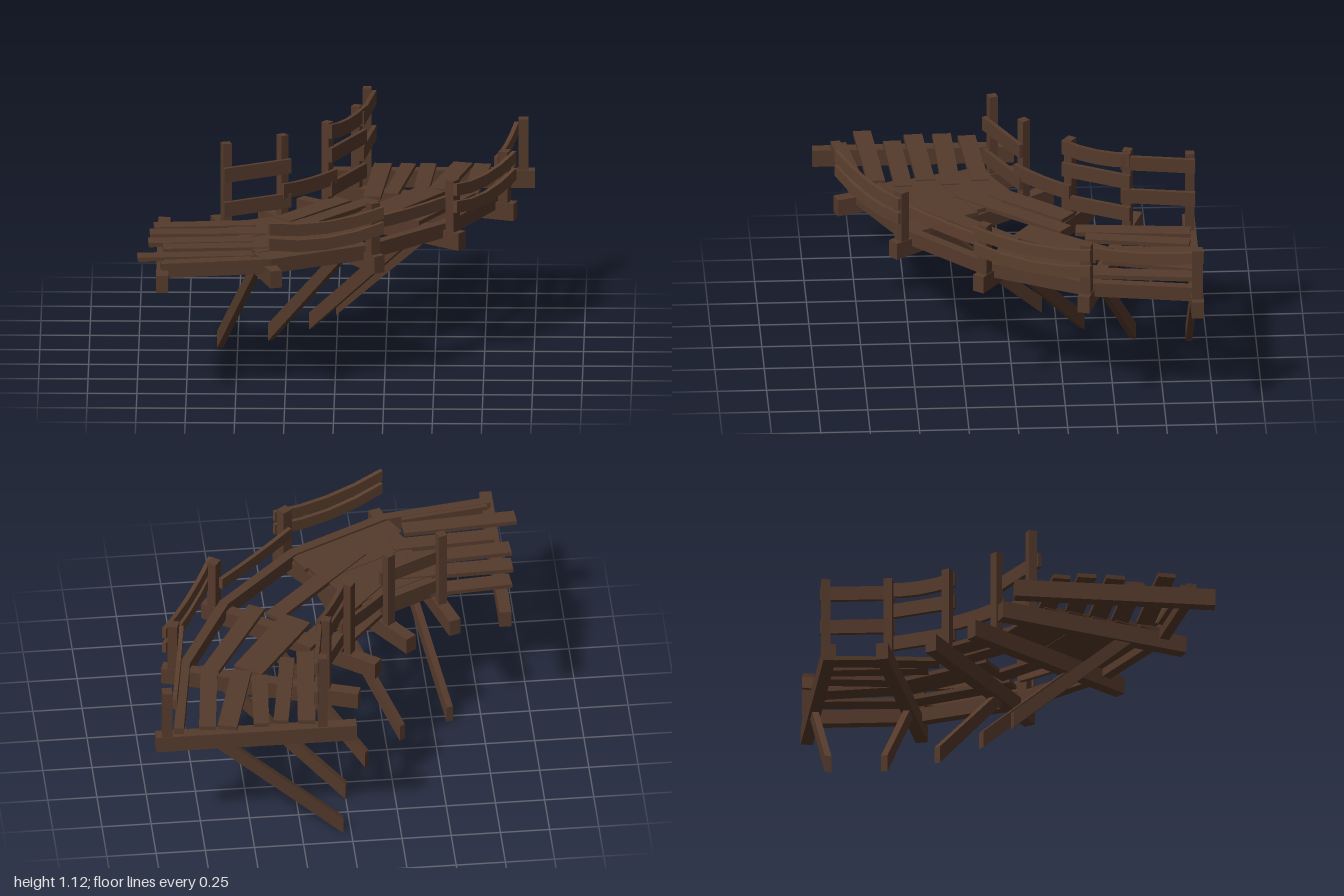
import * as THREE from 'three';

const CX = -0.87, CZ = -0.91;            // centre of the curve
const STEP = Math.PI / 10;               // angle between neighbouring beams
const wood = new THREE.MeshStandardMaterial({ color: 0x553a2b });
const railWood = new THREE.MeshStandardMaterial({ color: 0x5c3f2e });

const polar = (r, i) => [CX + r * Math.cos(i * STEP), CZ + r * Math.sin(i * STEP)];

function add(group, name, geometry, material = wood) {
  const mesh = new THREE.Mesh(geometry, material);
  mesh.name = name;
  group.add(mesh);
  return mesh;
}

// Straight or sagging board between two ground points
function board(group, name, a, b, y, height, width, { over = 0, sag = 0, material = wood } = {}) {
  const dx = b[0] - a[0], dz = b[1] - a[1];
  const len = Math.hypot(dx, dz) + over * 2;
  const geo = new THREE.BoxGeometry(len, height, width, sag ? 4 : 1, 1, 1);
  if (sag) {
    const p = geo.attributes.position;
    for (let k = 0; k < p.count; k++) {
      const t = (2 * p.getX(k)) / len;
      p.setY(k, p.getY(k) - sag * (1 - t * t));
    }
    geo.computeVertexNormals();
  }
  const mesh = add(group, name, geo, material);
  mesh.position.set((a[0] + b[0]) / 2, y, (a[1] + b[1]) / 2);
  mesh.rotation.y = -Math.atan2(dz, dx);
  return mesh;
}

// Diagonal leg with upright cut ends, in radius and height
function legGeometry() {
  const s = new THREE.Shape([[0.91, 0], [0.91, 0.09], [1.52, 0.64], [1.61, 0.64]]
    .map(([x, y]) => new THREE.Vector2(x, y)));
  const geo = new THREE.ExtrudeGeometry(s, { depth: 0.034, bevelEnabled: false });
  return geo.translate(0, 0, -0.017);
}

export function createModel() {
  const root = new THREE.Group();
  root.name = 'curvedWalkway';

  // Radial frames: beam, leg and posts
  for (let i = 0; i < 6; i++) {
    const frame = new THREE.Group();
    frame.name = 'frame' + i;
    frame.position.set(CX, 0, CZ);
    frame.rotation.y = -i * STEP;
    add(frame, 'beam', new THREE.BoxGeometry(1.02, 0.09, 0.062)).position.set(1.353, 0.64, 0);
    if (i < 5) {
      add(frame, 'leg', legGeometry());
      add(frame, 'innerPost', new THREE.BoxGeometry(0.045, 0.47, 0.045)).position.set(1.015, 0.88, 0);
    }
    if (i < 4) {
      add(frame, 'outerPost', new THREE.BoxGeometry(0.05, 0.315, 0.055)).position.set(1.805, 0.7975, 0);
    }
    root.add(frame);
  }

  // Rim boards along the outer edge
  for (let i = 0; i < 5; i++) {
    board(root, 'rimBoard', polar(1.745, i), polar(1.745, i + 1), 0.682, 0.075, 0.05, { over: 0.008 });
  }

  // Loose deck planks: start x, z, end x, z, width
  [
    [-0.92, 0.17, -0.405, 0.125, 0.09], [-0.94, 0.295, -0.36, 0.275, 0.095],
    [-0.945, 0.44, -0.42, 0.40, 0.095], [-0.87, 0.55, -0.35, 0.515, 0.09],
    [-0.997, 0.695, -0.42, 0.65, 0.09], [-0.86, 0.815, -0.42, 0.745, 0.065],
    [0.225, -0.91, 0.175, -0.33, 0.09], [0.355, -0.9, 0.27, -0.375, 0.075],
    [0.455, -0.91, 0.425, -0.5, 0.08], [0.63, -0.92, 0.51, -0.46, 0.1],
    [0.73, -0.91, 0.67, -0.4, 0.085], [0.48, -0.46, 0.19, -0.05, 0.16],
    [0.665, -0.43, 0.38, 0.07, 0.09], [0.18, -0.28, -0.26, 0.24, 0.09],
    [0.03, -0.3, -0.27, 0.06, 0.11], [0.31, -0.02, -0.18, 0.48, 0.09],
  ].forEach(([x1, z1, x2, z2, w], k) => {
    board(root, 'deckPlank', [x1, z1], [x2, z2], 0.704 + (k % 2) * 0.003, 0.022, w);
  });

  // Close-laid planks of the fourth bay
  for (let k = 0; k < 5; k++) {
    const r = 1.14 + k * 0.132;
    board(root, 'deckPlank', polar(r, 3), polar(r, 4), 0.698 + (k % 2) * 0.003, 0.022, 0.138,
      { over: 0.03 });
  }

  // Outer rails: bay, radius, height, sag
  [
    [0, 1.765, 0.895, 0.025], [1, 1.84, 0.915, 0.035], [1, 1.84, 0.825, 0.04],
    [2, 1.765, 0.83, 0.008], [3, 1.84, 0.905, 0.035], [3, 1.84, 0.825, 0.04],
  ].forEach(([i, r, y, sag]) => {
    board(root, 'outerRail', polar(r, i), polar(r, i + 1), y, 0.062, 0.022,
      { over: i === 2 ? 0 : 0.035, sag, material: railWood });
  });

  // Inner rails: bay, height, sag
  [
    [0, 1.055, 0], [0, 0.87, 0], [1, 1.075, 0.02], [1, 0.95, 0], [1, 0.77, 0],
    [2, 0.83, 0.01], [3, 0.955, 0], [3, 0.775, 0],
  ].forEach(([i, y, sag]) => {
    board(root, 'innerRail', polar(1.047, i), polar(1.047, i + 1), y, 0.075, 0.022,
      { over: 0.025, sag });
  });

  return root;
}
